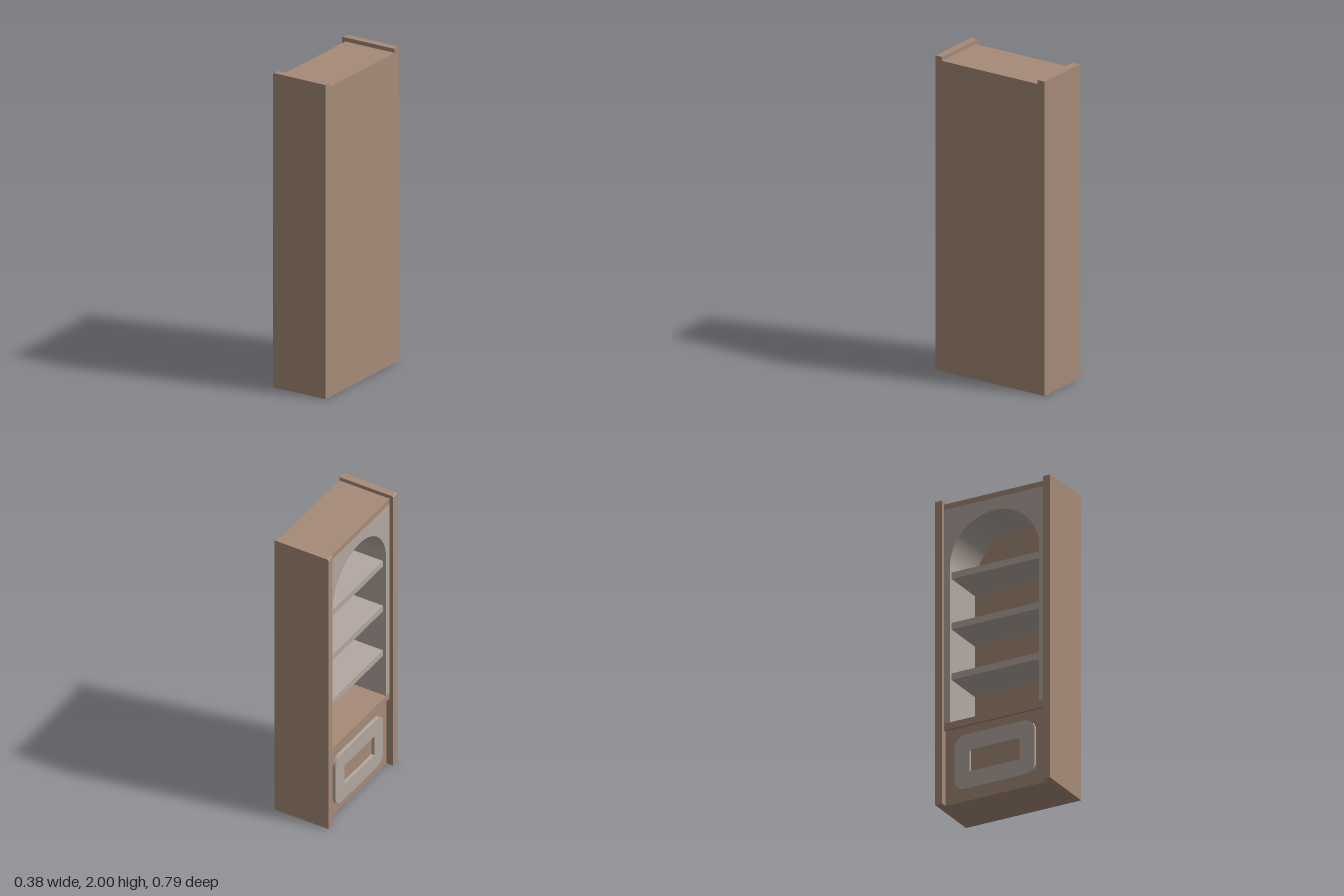
import * as THREE from 'three';
import { toCreasedNormals } from 'three/addons/utils/BufferGeometryUtils.js';

const brown = new THREE.MeshStandardMaterial({ color: 0xa68b78 });
brown.name = 'brown wood';
const grey = new THREE.MeshStandardMaterial({ color: 0xb4a8a1 });
grey.name = 'warm grey';

const INNER = 0.347;  // half width between the side panels
const OUTER = 0.395;
const FRONT = -0.163; // the open side faces -x
const BACK = 0.188;
const NICHE = 0.142;  // inner face of the back panel

export function createModel() {
  const group = new THREE.Group();

  function add(name, geometry, material) {
    const mesh = new THREE.Mesh(geometry, material);
    mesh.name = name;
    group.add(mesh);
  }

  // Box spanning x0..x1, y0..y1 and -halfZ..halfZ
  function board(name, x0, x1, y0, y1, halfZ, material) {
    const g = new THREE.BoxGeometry(x1 - x0, y1 - y0, halfZ * 2);
    g.translate((x0 + x1) / 2, (y0 + y1) / 2, 0);
    add(name, g, material);
  }

  // Shape drawn in (z, y), extruded along x from x0 to x1
  function slab(name, shape, x0, x1, material) {
    const g = new THREE.ExtrudeGeometry(shape, { depth: x1 - x0, bevelEnabled: false, curveSegments: 32 });
    g.rotateY(-Math.PI / 2);
    g.translate(x1, 0, 0);
    add(name, toCreasedNormals(g, 0.5), material);
  }

  // Side panels with a rounded top front corner
  const r = 0.012;
  const side = new THREE.Shape();
  side.moveTo(-BACK, 0);
  side.lineTo(BACK, 0);
  side.lineTo(BACK, 2);
  side.lineTo(-BACK + r, 2);
  side.absarc(-BACK + r, 2 - r, r, Math.PI / 2, Math.PI, false);
  side.closePath();
  for (const s of [-1, 1]) {
    const g = new THREE.ExtrudeGeometry(side, { depth: OUTER - INNER, bevelEnabled: false, curveSegments: 6 });
    g.translate(0, 0, s > 0 ? INNER : -OUTER);
    add(s > 0 ? 'leftSidePanel' : 'rightSidePanel', toCreasedNormals(g, 0.5), brown);
  }

  // Carcass
  board('backPanel', NICHE, BACK, 0, 1.94, INNER, brown);
  board('topBoard', FRONT, BACK, 1.94, 1.975, INNER, brown);
  board('counter', FRONT, NICHE, 0.49, 0.533, INNER, brown);
  board('lowerCabinet', -0.142, NICHE, 0, 0.49, INNER, brown);

  // Arched niche lining
  const a = 0.307, spring = 1.553;
  const arch = new THREE.Shape();
  arch.moveTo(a, 0.533);
  arch.lineTo(INNER, 0.533);
  arch.lineTo(INNER, 1.94);
  arch.lineTo(-INNER, 1.94);
  arch.lineTo(-INNER, 0.533);
  arch.lineTo(-a, 0.533);
  arch.lineTo(-a, spring);
  arch.absarc(0, spring, a, Math.PI, 0, true);
  arch.closePath();
  slab('archedNiche', arch, FRONT, NICHE, grey);

  // Shelves
  for (let i = 1; i <= 3; i++) {
    const top = 0.533 + i * 0.332;
    board('shelf' + i, -0.14, NICHE, top - 0.043, top, a, grey);
  }

  // Rounded frame on the lower cabinet with a rectangular opening
  const w = 0.274, y0 = 0.072, y1 = 0.428, c = 0.07;
  const frame = new THREE.Shape();
  frame.absarc(w - c, y0 + c, c, -Math.PI / 2, 0, false);
  frame.absarc(w - c, y1 - c, c, 0, Math.PI / 2, false);
  frame.absarc(-w + c, y1 - c, c, Math.PI / 2, Math.PI, false);
  frame.absarc(-w + c, y0 + c, c, Math.PI, Math.PI * 1.5, false);
  frame.closePath();
  const hole = new THREE.Path();
  hole.moveTo(-0.172, 0.18);
  hole.lineTo(-0.172, 0.32);
  hole.lineTo(0.172, 0.32);
  hole.lineTo(0.172, 0.18);
  hole.closePath();
  frame.holes.push(hole);
  slab('cabinetFrame', frame, FRONT, -0.142, grey);

  return group;
}
